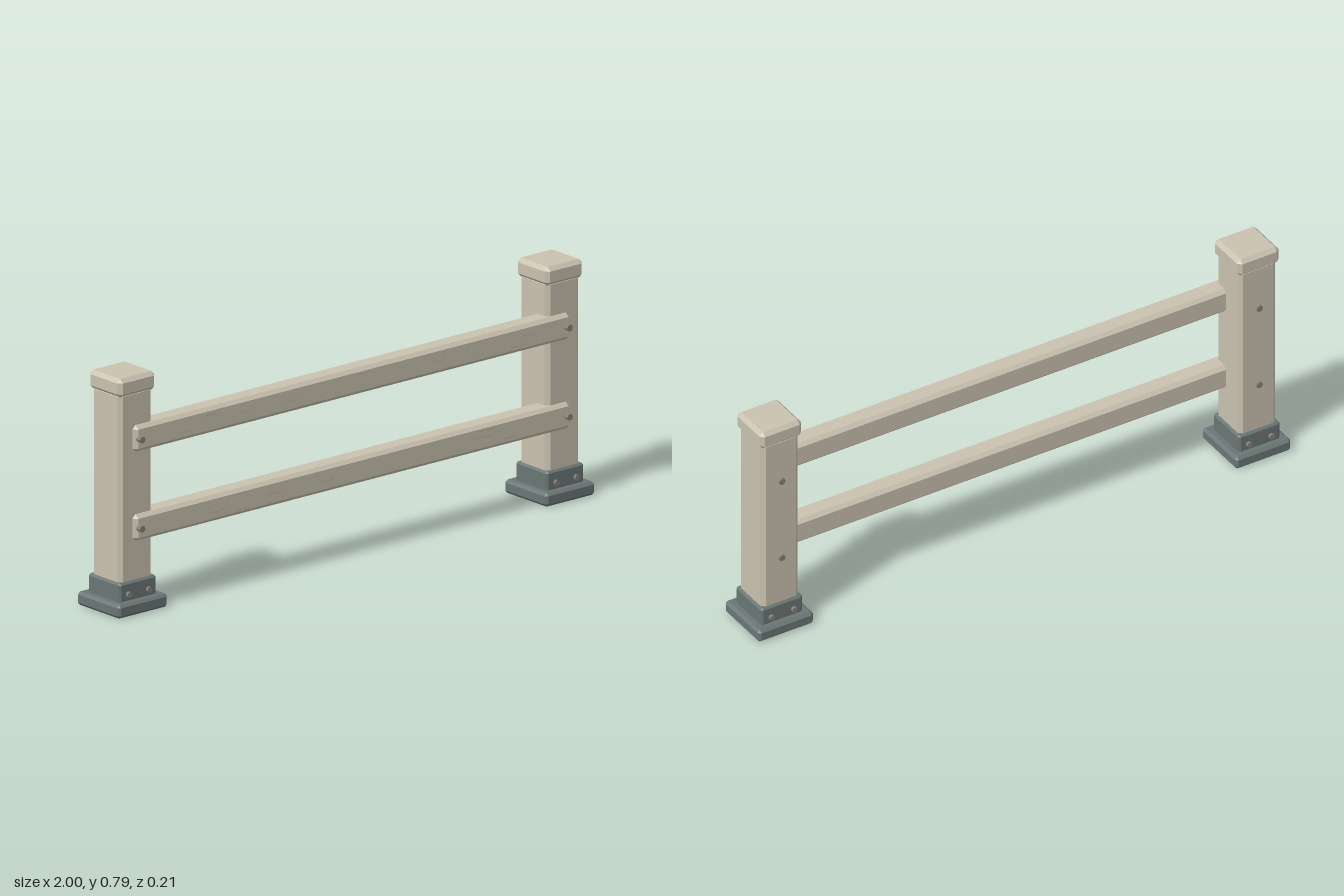
import * as THREE from 'three';
import { ConvexGeometry } from 'three/addons/geometries/ConvexGeometry.js';

// Box with every edge chamfered by c
function chamferBox(w, h, d, c) {
  const pts = [];
  const x = w / 2, y = h / 2, z = d / 2;
  for (const sx of [-1, 1]) for (const sy of [-1, 1]) for (const sz of [-1, 1]) {
    pts.push(
      new THREE.Vector3(sx * x, sy * (y - c), sz * (z - c)),
      new THREE.Vector3(sx * (x - c), sy * y, sz * (z - c)),
      new THREE.Vector3(sx * (x - c), sy * (y - c), sz * z)
    );
  }
  return new ConvexGeometry(pts);
}

export function createModel() {
  const material = (name, color) => {
    const m = new THREE.MeshStandardMaterial({ color, flatShading: true });
    m.name = name;
    return m;
  };
  const wood = material('pale wood', 0xcac2b0);
  const grainColor = material('wood grain', 0xaaa392);
  const metal = material('slate metal', 0x6a7675);
  const steel = material('bolt steel', 0x858278);

  const model = new THREE.Group();
  model.name = 'railFence';

  const add = (parent, name, geometry, mat, x, y, z) => {
    const mesh = new THREE.Mesh(geometry, mat);
    mesh.name = name;
    mesh.position.set(x, y, z);
    parent.add(mesh);
    return mesh;
  };

  // Bolt running along z between two depths
  const addBolt = (parent, name, r, x, y, z0, z1) => {
    const g = new THREE.CylinderGeometry(r, r, z1 - z0, 8);
    g.rotateX(Math.PI / 2);
    add(parent, name, g, steel, x, y, (z0 + z1) / 2);
  };

  const railHeights = [0.28, 0.578];

  // Posts with foot, collar, cap and bolts
  for (const side of [-1, 1]) {
    const post = new THREE.Group();
    post.name = side > 0 ? 'leftPost' : 'rightPost';
    post.position.x = side * 0.896;
    model.add(post);

    add(post, 'basePlate', chamferBox(0.208, 0.045, 0.208, 0.009), metal, 0, 0.0225, 0);
    add(post, 'collar', chamferBox(0.156, 0.077, 0.156, 0.007), metal, 0, 0.0685, 0);
    add(post, 'shaft', chamferBox(0.14, 0.68, 0.14, 0.013), wood, 0, 0.4, 0);
    add(post, 'cap', chamferBox(0.156, 0.063, 0.156, 0.013), wood, 0, 0.756, 0);

    for (const y of railHeights) addBolt(post, 'railBolt', 0.0115, 0, y, -0.08, 0.1);
    for (const x of [-0.042, 0.042]) addBolt(post, 'collarBolt', 0.01, x, 0.066, -0.087, 0.087);
  }

  // Rails
  railHeights.forEach((y, i) => {
    add(model, i ? 'upperRail' : 'lowerRail', chamferBox(1.828, 0.088, 0.074, 0.012), wood, 0, y, 0.048);
  });

  // Fine grain marks on the rail fronts: rail, x, offset y, length
  const marks = [
    [1, -0.71, -0.015, 0.06], [1, -0.6, 0.02, 0.05], [1, -0.45, 0.0, 0.05], [1, -0.26, -0.005, 0.06],
    [1, 0.04, 0.025, 0.06], [1, 0.36, 0.0, 0.05], [1, 0.69, -0.02, 0.07], [1, 0.73, 0.01, 0.05],
    [0, -0.57, -0.01, 0.06], [0, -0.46, -0.025, 0.07], [0, -0.33, 0.0, 0.06], [0, -0.11, -0.005, 0.05],
    [0, 0.54, 0.005, 0.07], [0, 0.56, 0.025, 0.05], [0, 0.66, -0.02, 0.05]
  ];
  for (const [rail, x, dy, length] of marks) {
    add(model, 'grainMark', new THREE.BoxGeometry(length, 0.002, 0.002), grainColor, x, railHeights[rail] + dy, 0.085);
  }

  return model;
}
